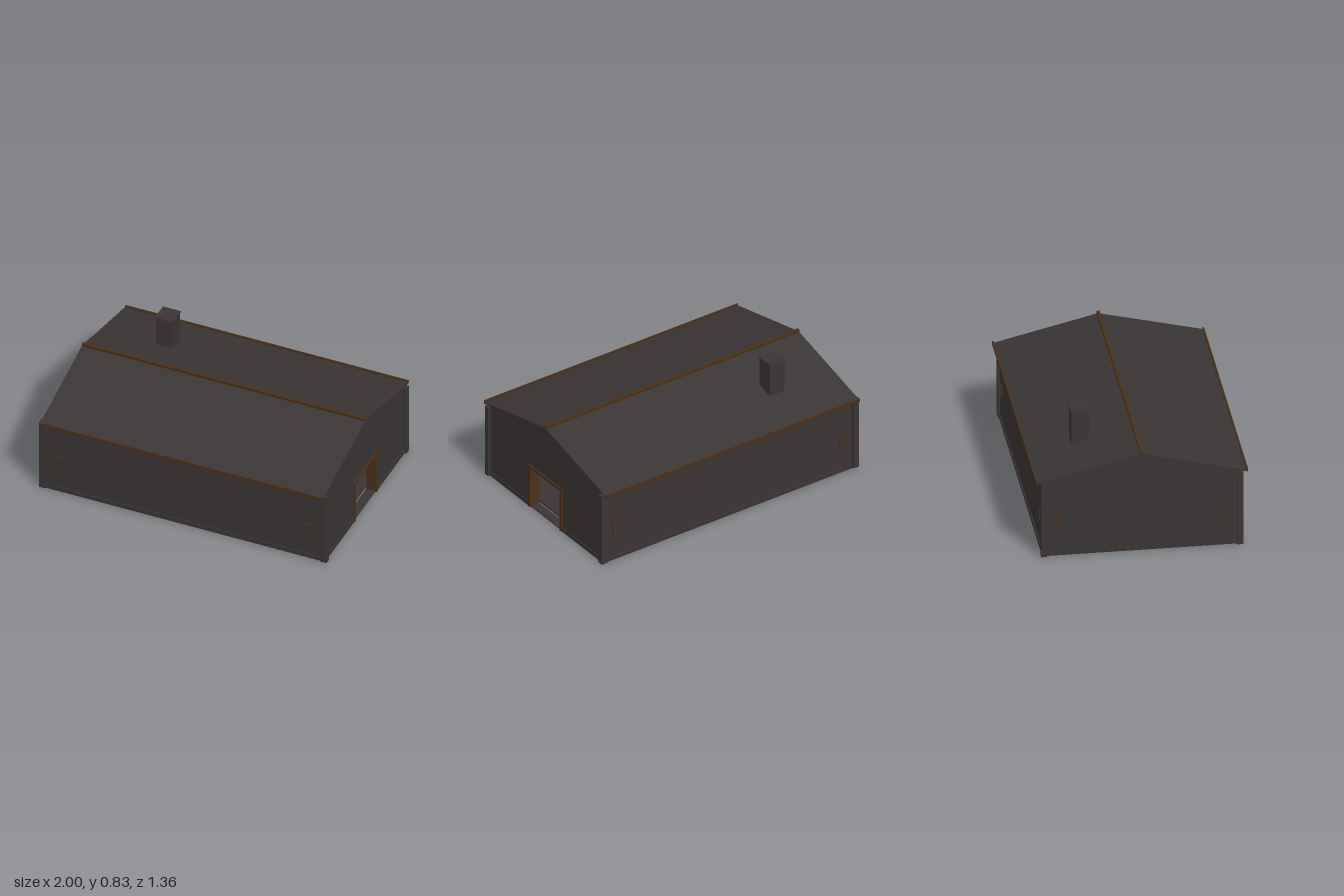
import * as THREE from 'three';

export function createModel() {
  const model = new THREE.Group();
  model.name = 'barn';
  const charcoal = new THREE.MeshStandardMaterial({ color: 0x3a3434 });
  charcoal.name = 'charcoal boards';
  const timber = new THREE.MeshStandardMaterial({ color: 0x4a2f18 });
  timber.name = 'brown timber';

  const add = (name, geometry, material, parent = model) => {
    const mesh = new THREE.Mesh(geometry, material);
    mesh.name = name;
    parent.add(mesh);
    return mesh;
  };
  // box given by its lower and upper limits
  const box = (name, material, [x0, x1], [y0, y1], [z0, z1], parent = model) => {
    const mesh = add(name, new THREE.BoxGeometry(x1 - x0, y1 - y0, z1 - z0), material, parent);
    mesh.position.set((x0 + x1) / 2, (y0 + y1) / 2, (z0 + z1) / 2);
    return mesh;
  };
  // symmetric end profile (z, y) swept along x
  const sweep = (name, points, x0, x1) => {
    const shape = new THREE.Shape(points.map(([z, y]) => new THREE.Vector2(z, y)));
    const geometry = new THREE.ExtrudeGeometry(shape, { depth: x1 - x0, bevelEnabled: false });
    geometry.rotateY(Math.PI / 2).translate(x0, 0, 0);
    return add(name, geometry, charcoal);
  };

  // end walls, the one on the left side with a doorway
  const gable = [[0.635, 0], [0.635, 0.52], [0, 0.674], [-0.635, 0.52], [-0.635, 0]];
  const doorway = [[-0.165, 0], [-0.165, 0.3], [0.165, 0.3], [0.165, 0]];
  sweep('plainEndWall', gable, -0.98, -0.92);
  sweep('doorEndWall', [...gable, ...doorway], 0.92, 0.98);

  // long walls, skirting and gutters
  for (const s of [1, -1]) {
    const zs = (a, b) => (s > 0 ? [a, b] : [-b, -a]);
    box('longWall', charcoal, [-0.92, 0.92], [0, 0.52], zs(0.58, 0.635));
    box('longSkirting', charcoal, [-0.96, 0.96], [0, 0.03], zs(0.634, 0.642));
    box('gutter', timber, [-0.985, 0.985], [0.515, 0.535], zs(0.672, 0.682));
    box('doorEndSkirting', charcoal, [0.979, 0.986], [0, 0.03], zs(0.187, 0.615));
  }
  box('plainEndSkirting', charcoal, [-0.986, -0.979], [0, 0.03], [-0.615, 0.615]);

  // corner posts
  for (const x of [[-1, -0.955], [0.955, 1]])
    for (const z of [[-0.65, -0.612], [0.612, 0.65]])
      box('cornerPost', charcoal, x, [0, 0.517], z);

  // floor slab, just clear of the walls
  box('floor', charcoal, [-0.905, 0.905], [0.002, 0.012], [-0.567, 0.567]);
  box('doorSill', charcoal, [0.92, 0.98], [0, 0.008], [-0.165, 0.165]);

  // door frame
  box('doorJamb', timber, [0.915, 0.99], [0, 0.3], [0.163, 0.187]);
  box('doorJamb', timber, [0.915, 0.99], [0, 0.3], [-0.187, -0.163]);
  box('doorLintel', timber, [0.915, 0.99], [0.298, 0.317], [-0.19, 0.19]);

  // pitched roof and ridge cap
  sweep('roof', [[0, 0.686], [-0.678, 0.522], [-0.678, 0.511], [0, 0.674],
    [0.678, 0.511], [0.678, 0.522]], -0.985, 0.985);
  box('ridgeCap', timber, [-0.985, 0.985], [0.678, 0.703], [-0.01, 0.01]);

  // small framed wall hatches
  const hatch = (x, z, turn) => {
    const group = new THREE.Group();
    group.name = 'wallHatch';
    const w = 0.028, h = 0.034, t = 0.006;
    for (const s of [1, -1]) {
      const [a, b] = s > 0 ? [w - t, w] : [-w, t - w];
      const [c, d] = s > 0 ? [h - t, h] : [-h, t - h];
      box('hatchSide', timber, [a, b], [-h, h], [0, 0.008], group);
      box('hatchRail', timber, [t - w, w - t], [c, d], [0, 0.008], group);
    }
    box('hatchPanel', charcoal, [t - w, w - t], [t - h, h - t], [0, 0.004], group);
    group.position.set(x, 0.232, z);
    group.rotation.y = turn;
    model.add(group);
  };
  for (const s of [1, -1]) {
    hatch(s * 0.88, 0.635, 0);
    hatch(s * 0.88, -0.635, Math.PI);
    hatch(-0.98, s * 0.55, -Math.PI / 2);
  }

  // hollow chimney with a raised cap
  const square = (r) => [[-r, -r], [r, -r], [r, r], [-r, r]].map(([x, y]) => new THREE.Vector2(x, y));
  const shaft = new THREE.Shape(square(0.057));
  shaft.holes.push(new THREE.Path(square(0.045).reverse()));
  const shaftGeometry = new THREE.ExtrudeGeometry(shaft, { depth: 0.235, bevelEnabled: false });
  shaftGeometry.rotateX(-Math.PI / 2);
  add('chimney', shaftGeometry, charcoal).position.set(-0.54, 0.58, -0.341);
  for (const dx of [-0.05, 0.05])
    for (const dz of [-0.05, 0.05])
      box('capPeg', charcoal, [-0.543 + dx, -0.537 + dx], [0.81, 0.826], [-0.344 + dz, -0.338 + dz]);
  box('chimneyCap', charcoal, [-0.603, -0.477], [0.823, 0.832], [-0.404, -0.278]);

  return model;
}
